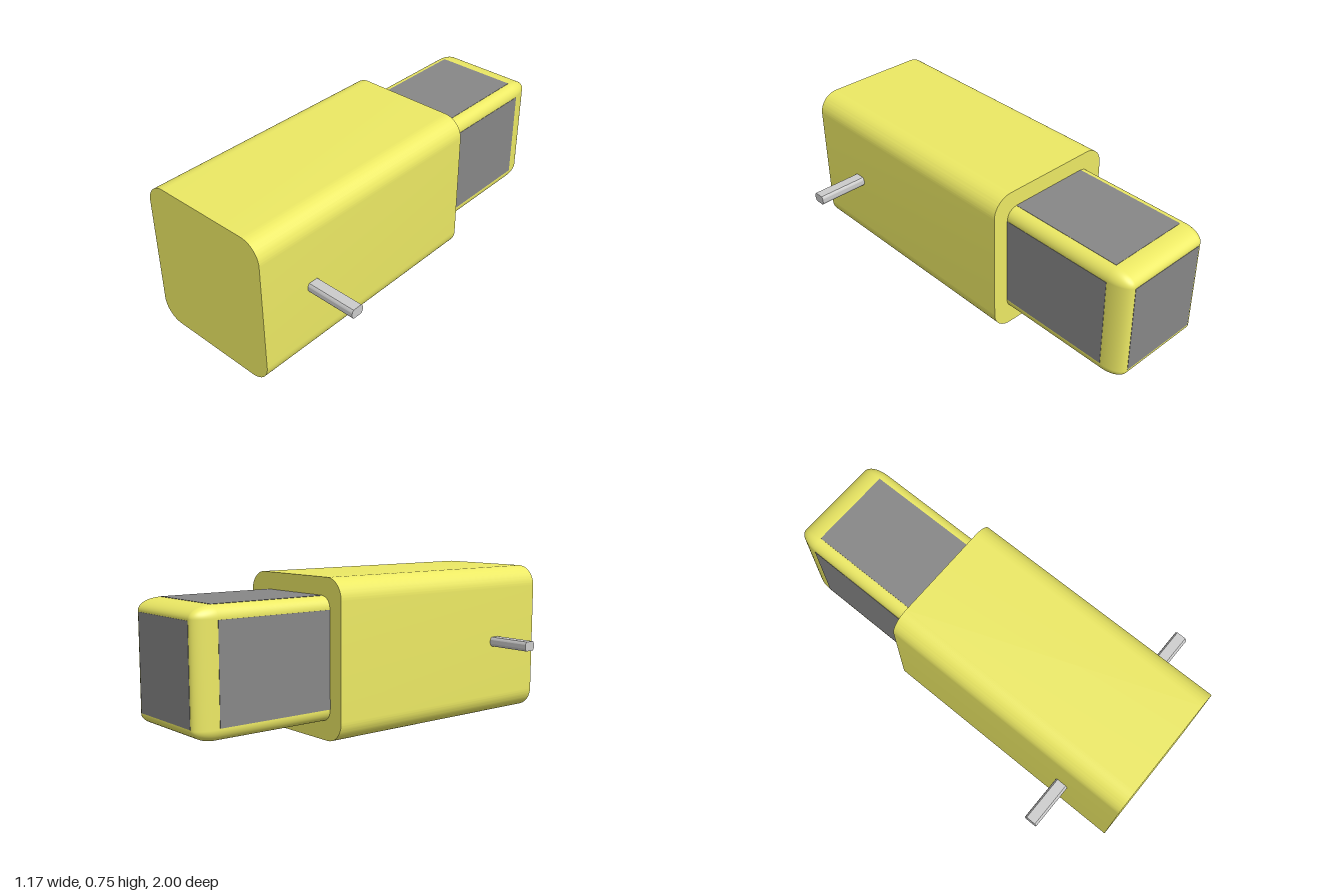
import * as THREE from 'three';
import { toCreasedNormals } from 'three/addons/utils/BufferGeometryUtils.js';
import { RoundedBoxGeometry } from 'three/addons/geometries/RoundedBoxGeometry.js';

const yellow = new THREE.MeshStandardMaterial({ color: 0xece964 });
const darkGrey = new THREE.MeshStandardMaterial({ color: 0x878787 });
const grey = new THREE.MeshStandardMaterial({ color: 0xcccccc });

function roundedRect(w, h, r) {
  const s = new THREE.Shape();
  const x = w / 2 - r, y = h / 2 - r;
  s.absarc(x, y, r, 0, Math.PI / 2);
  s.absarc(-x, y, r, Math.PI / 2, Math.PI);
  s.absarc(-x, -y, r, Math.PI, Math.PI * 1.5);
  s.absarc(x, -y, r, Math.PI * 1.5, Math.PI * 2);
  s.closePath();
  return s;
}

// Extrusion centred on its own axis, smooth on the curves and sharp at the ends
function prism(shape, depth) {
  const g = new THREE.ExtrudeGeometry(shape, { depth, bevelEnabled: false, curveSegments: 14 });
  g.translate(0, 0, -depth / 2);
  return toCreasedNormals(g, 0.5);
}

export function createModel() {
  const group = new THREE.Group();
  const add = (name, geometry, material, x, y, z) => {
    const mesh = new THREE.Mesh(geometry, material);
    mesh.name = name;
    mesh.position.set(x, y, z);
    group.add(mesh);
    return mesh;
  };
  const cx = -0.0135;

  // Gearbox housing
  add('gearboxHousing', prism(roundedRect(0.69, 0.75, 0.1), 1.305), yellow, cx, 0.375, 0.3475);

  // Motor casing: a rounded box whose rounding is stretched along its length
  const mw = 0.53, mh = 0.575, my = 0.3775, back = -1, length = 1.1;
  const casing = new RoundedBoxGeometry(mw, mh, length / 2, 8, 0.055);
  casing.scale(1, 1, 2);
  add('motorCasing', casing, yellow, cx, my, back + length / 2);

  // Flat grey panels on the five exposed sides of the casing
  const pw = 0.42, ph = 0.455, z0 = -0.89, z1 = -0.305, t = 0.004;
  const pl = z1 - z0, pz = (z0 + z1) / 2, sink = t / 2 - 0.0015;
  for (const s of [1, -1]) {
    add(s > 0 ? 'leftPanel' : 'rightPanel', new THREE.BoxGeometry(t, ph, pl), darkGrey,
      cx + s * (mw / 2 - sink), my, pz);
    add(s > 0 ? 'topPanel' : 'bottomPanel', new THREE.BoxGeometry(pw, t, pl), darkGrey,
      cx, my + s * (mh / 2 - sink), pz);
  }
  add('backPanel', new THREE.BoxGeometry(pw, ph, t), darkGrey, cx, my, back + sink);

  // Output shaft: round bar with flats on top and bottom, right through the housing
  const r = 0.0335, a = Math.asin(0.0235 / r);
  const section = new THREE.Shape();
  section.absarc(0, 0, r, -a, a);
  section.absarc(0, 0, r, Math.PI - a, Math.PI + a);
  section.closePath();
  const shaft = add('outputShaft', prism(section, 1.174), grey, 0, 0.379, 0.708);
  shaft.rotation.y = Math.PI / 2;

  return group;
}
